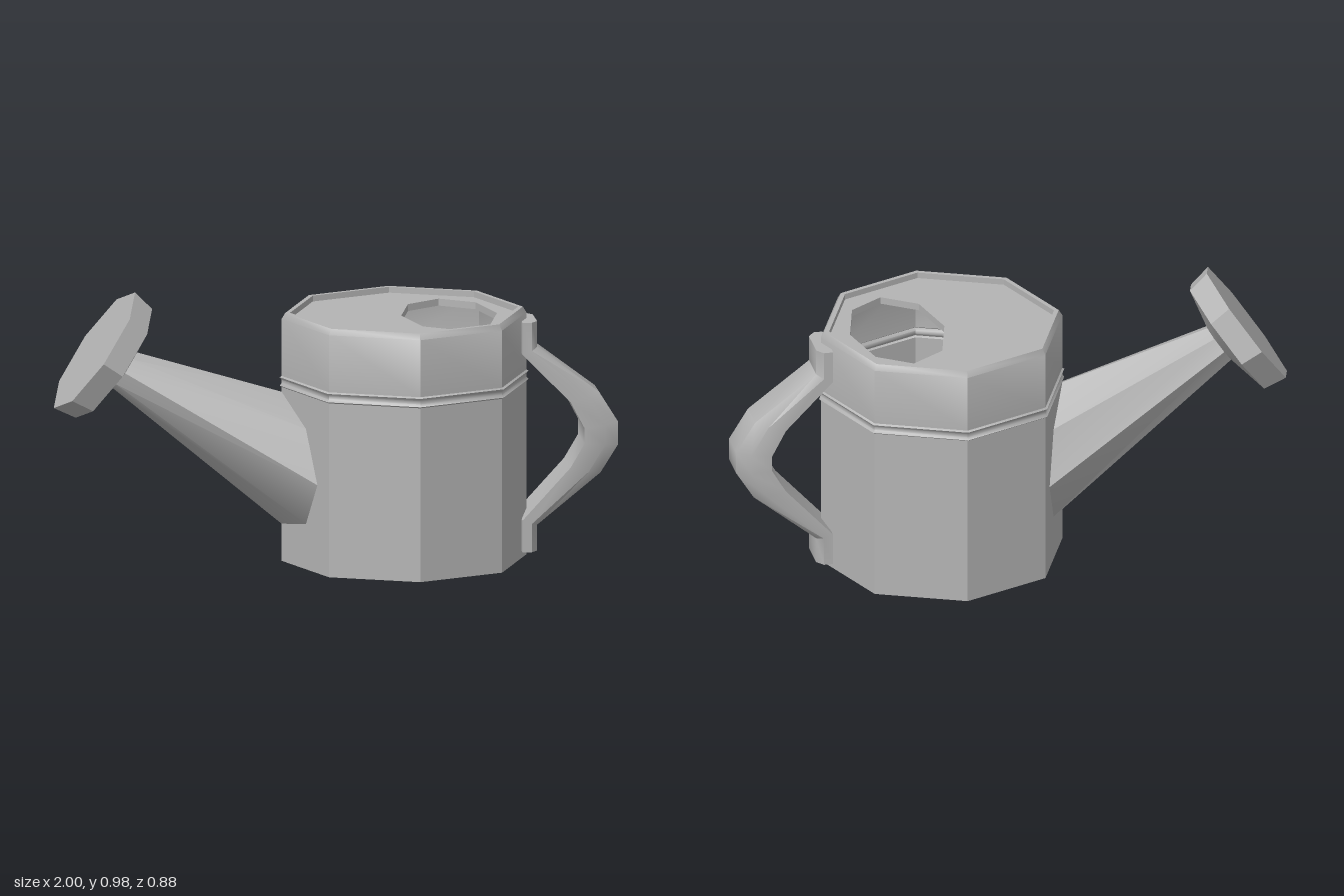
import * as THREE from 'three';
import { toCreasedNormals } from 'three/addons/utils/BufferGeometryUtils.js';

const CREASE = 0.7;

// Octagonal turned part from [radius, height] pairs
function octagonLathe(profile) {
  const points = profile.map(([r, y]) => new THREE.Vector2(r, y));
  return toCreasedNormals(new THREE.LatheGeometry(points, 8), CREASE);
}

// Skin over closed rings of [x, y, z] points, optionally capping both ends
function loft(rings, capped) {
  const n = rings[0].length;
  const index = [];
  for (let i = 0; i < rings.length - 1; i++) {
    for (let j = 0; j < n; j++) {
      const k = (j + 1) % n;
      const a = i * n + j, b = i * n + k, c = a + n, d = b + n;
      index.push(a, b, c, b, d, c);
    }
  }
  if (capped) {
    const last = (rings.length - 1) * n;
    for (let j = 1; j < n - 1; j++) {
      index.push(0, j + 1, j, last, last + j, last + j + 1);
    }
  }
  const geometry = new THREE.BufferGeometry();
  geometry.setAttribute('position', new THREE.Float32BufferAttribute(rings.flat(2), 3));
  geometry.setIndex(index);
  return toCreasedNormals(geometry, CREASE);
}

export function createModel() {
  const group = new THREE.Group();
  const metal = new THREE.MeshStandardMaterial({ color: 0xb4b4b4, side: THREE.DoubleSide });
  metal.name = 'greyMetal';
  const add = (name, geometry) => {
    const mesh = new THREE.Mesh(geometry, metal);
    mesh.name = name;
    group.add(mesh);
    return mesh;
  };

  // Hollow body with a double bead, chamfered rim and inner lip
  const bodyX = 0.245;
  add('body', octagonLathe([
    [0, 0], [0.435, 0], [0.435, 0.625], [0.442, 0.63], [0.435, 0.639],
    [0.435, 0.651], [0.442, 0.66], [0.435, 0.665], [0.435, 0.87],
    [0.422, 0.891], [0.405, 0.891], [0.405, 0.865],
  ])).position.x = bodyX;

  // Top plate with an off-centre filling hole
  const plate = new THREE.Shape();
  const hole = new THREE.Path();
  const platePoints = [], holePoints = [];
  for (let i = 0; i < 8; i++) {
    const a = i * Math.PI / 4;
    platePoints.push(new THREE.Vector2(0.406 * Math.cos(a), 0.406 * Math.sin(a)));
    holePoints.push(new THREE.Vector2(0.16 + 0.17 * Math.cos(a), 0.278 * Math.sin(a)));
  }
  plate.setFromPoints(platePoints);
  hole.setFromPoints(holePoints);
  plate.holes.push(hole);
  const plateGeometry = new THREE.ExtrudeGeometry(plate, { depth: 0.025, bevelEnabled: false });
  plateGeometry.rotateX(-Math.PI / 2);
  add('topPlate', plateGeometry).position.set(bodyX, 0.845, 0);

  // Sprinkler head, tilted up and outward
  const tilt = 0.955;
  const rose = add('sprinklerHead', octagonLathe([
    [0.06, -0.125], [0.235, -0.085], [0.25, 0], [0, 0],
  ]));
  rose.position.set(-0.855, 0.775, 0);
  rose.rotation.z = tilt;

  // Tapered spout, ending just inside the body wall
  const narrow = [], wide = [];
  const wideY = [0.605, 0.5, 0.31, 0.155, 0.125];
  const wideZ = [0, 0.16, 0.235, 0.16, 0];
  for (let i = 0; i < 8; i++) {
    const a = i * Math.PI / 4;
    const k = i <= 4 ? i : 8 - i;
    const side = i <= 4 ? 1 : -1;
    const along = 0.074 * Math.cos(a);
    narrow.push([
      -0.757 + along * Math.cos(tilt), 0.706 + along * Math.sin(tilt), 0.08 * Math.sin(a),
    ]);
    wide.push([-0.18 + wideZ[k] * 0.414, wideY[k], side * wideZ[k]]);
  }
  add('spout', loft([narrow, wide], false));

  // Bowed handle: outer and inner edge of the strap at each station
  const stations = [
    [0.71, 0.85, 0.655, 0.85],
    [0.71, 0.757, 0.655, 0.735],
    [0.93, 0.59, 0.825, 0.56],
    [0.998, 0.48, 0.875, 0.465],
    [0.998, 0.4, 0.875, 0.41],
    [0.935, 0.3, 0.825, 0.325],
    [0.71, 0.118, 0.655, 0.14],
    [0.71, 0.025, 0.655, 0.025],
  ];
  const sections = stations.map(([ox, oy, ix, iy]) => {
    const mx = ox + (ix - ox) * 0.4, my = oy + (iy - oy) * 0.4;
    return [
      [ox, oy, 0.06], [ox, oy, -0.06], [mx, my, -0.088],
      [ix, iy, -0.088], [ix, iy, 0.088], [mx, my, 0.088],
    ];
  });
  add('handle', loft(sections.reverse(), true));

  return group;
}
